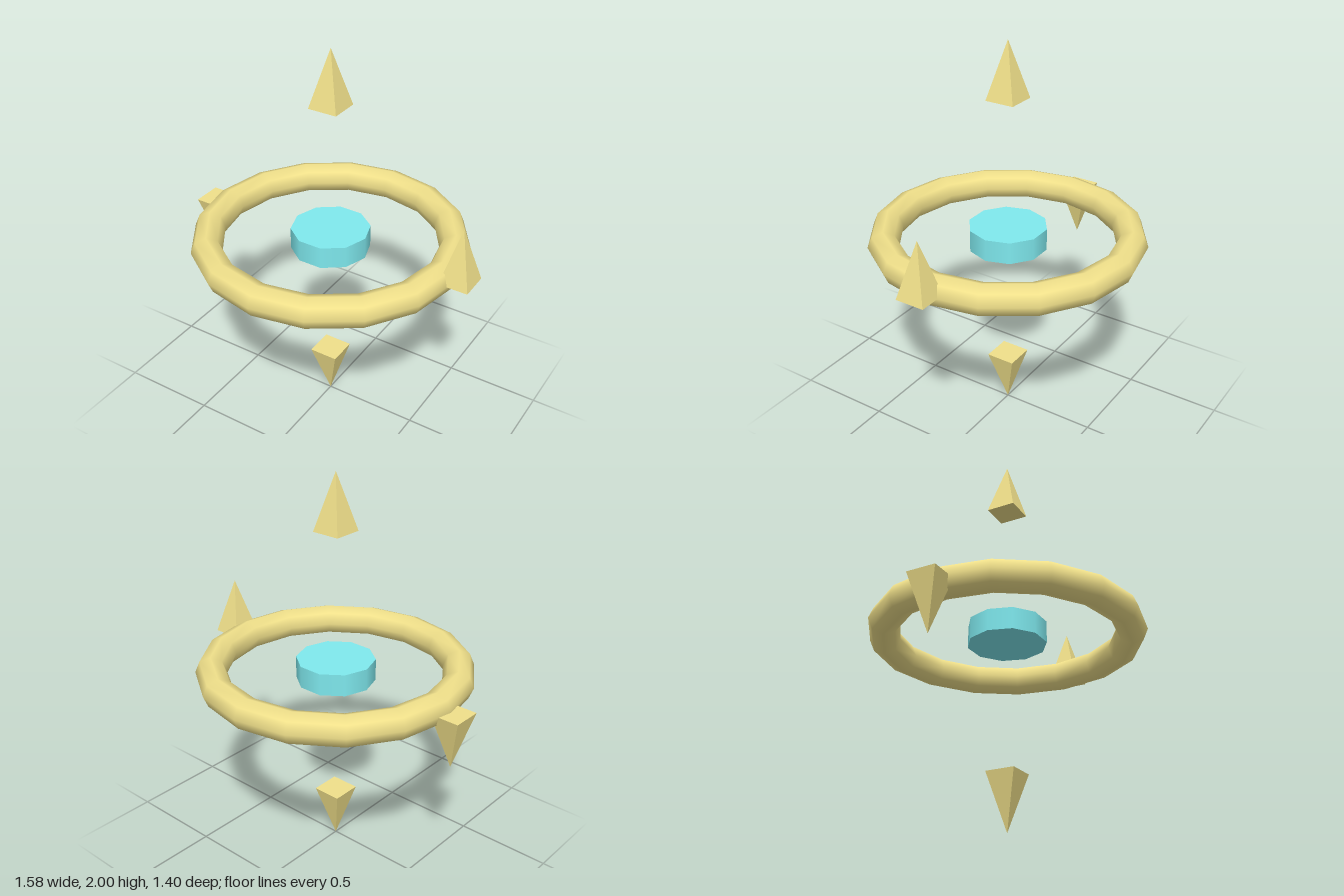
import * as THREE from 'three';

const RADIUS = 0.107, HEIGHT = 0.286, ORBIT = 0.714;

export function createModel() {
  const model = new THREE.Group();
  model.name = 'ringWithSpikes';
  const gold = new THREE.MeshStandardMaterial({ color: 0xf0e08a });
  const goldFlat = new THREE.MeshStandardMaterial({ color: 0xf0e08a, flatShading: true });
  const cyan = new THREE.MeshStandardMaterial({ color: 0x7fe9ee });

  const add = (name, geometry, material, x, y) => {
    const mesh = new THREE.Mesh(geometry, material);
    mesh.name = name;
    mesh.position.set(x, y, 0);
    model.add(mesh);
    return mesh;
  };

  // Horizontal ring
  add('ring', new THREE.TorusGeometry(0.621, 0.0786, 8, 16).rotateX(Math.PI / 2), gold, 0, 1);

  // Ten-sided core disc, with corners on the x axis
  add('core', new THREE.CylinderGeometry(0.2, 0.2, 0.114, 10).rotateY(Math.PI / 2), cyan, 0, 1);

  // Four-sided spikes, base at y, pointing up (1) or down (-1)
  const spikeGeometry = new THREE.ConeGeometry(RADIUS, HEIGHT, 4)
    .rotateY(Math.PI / 4)
    .translate(0, HEIGHT / 2, 0);
  const spikes = [
    ['topSpike', 0, 1 + ORBIT, 1],
    ['bottomSpike', 0, 1 - ORBIT, -1],
    ['leftSpike', ORBIT, 1, 1],
    ['rightSpike', -ORBIT, 1, -1],
  ];
  for (const [name, x, y, direction] of spikes) {
    const spike = add(name, spikeGeometry, goldFlat, x, y);
    if (direction < 0) spike.rotation.x = Math.PI;
  }

  return model;
}
